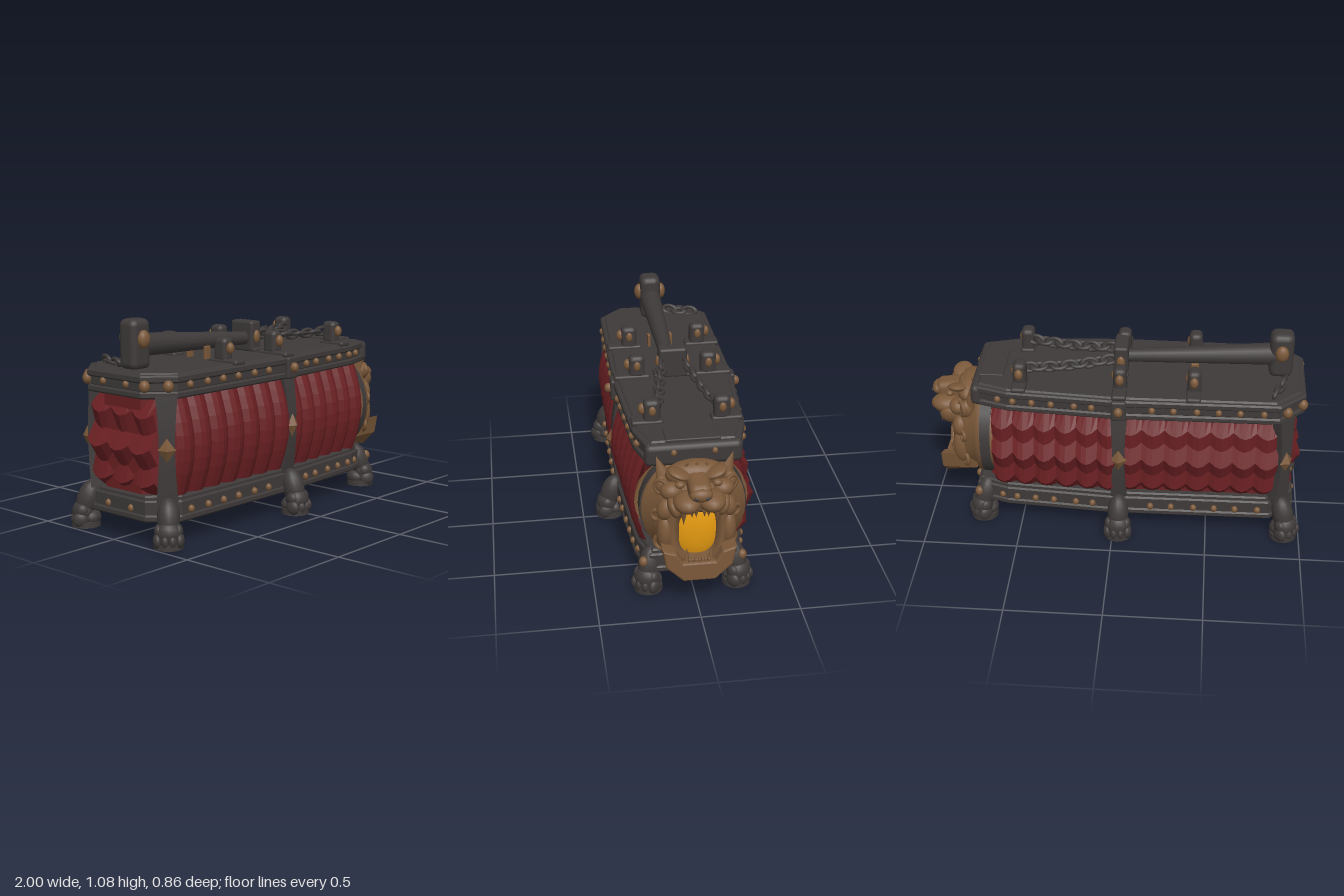
import * as THREE from 'three';
import { RoundedBoxGeometry } from 'three/addons/geometries/RoundedBoxGeometry.js';

const mat = (name, color) => Object.assign(new THREE.MeshStandardMaterial({ color }), { name });

export function createModel() {
  const root = new THREE.Group();
  root.name = 'beastChest';
  const iron = mat('dark iron', 0x3f3a3a), red = mat('red scales', 0x6b2023);
  const bronze = mat('bronze', 0x7a5839), glow = mat('amber glow', 0xf0a212);
  red.side = bronze.side = THREE.DoubleSide;

  // ---- helpers ----
  const add = (name, geo, m, p = [0, 0, 0], r = [0, 0, 0], parent = root) => {
    const mesh = new THREE.Mesh(geo, m);
    mesh.name = name;
    mesh.position.set(...p);
    mesh.rotation.set(...r);
    parent.add(mesh);
    return mesh;
  };
  const box = (name, m, size, p, r, bevel = 0.012) =>
    add(name, new RoundedBoxGeometry(...size, 2, bevel), m, p, r);
  const ball = (name, m, radii, p, r, parent) =>
    add(name, new THREE.SphereGeometry(1, 16, 12).scale(...radii), m, p, r, parent);
  const cone = (name, radius, h, p, r, sides = 6) =>
    add(name, new THREE.ConeGeometry(radius, h, sides), bronze, p, r);
  const stud = (p, s = 0.017) => ball('stud', bronze, [s, s * 1.15, s], p);
  const sides = f => [1, -1].forEach(f);

  // Half outline of the chest, shared by base and lid
  const half = [[-0.985, 0.19], [-0.86, 0.31], [0, 0.318], [0.55, 0.28], [0.73, 0.23]];
  const edge = x => {
    for (let i = 1; i < half.length; i++) {
      const [x0, z0] = half[i - 1], [x1, z1] = half[i];
      if (x <= x1) return z0 + (z1 - z0) * (x - x0) / (x1 - x0);
    }
    return 0.23;
  };
  const slab = (name, m, inset, y0, y1, shift = 0) => {
    const b = 0.008, cut = inset + b;
    const pts = half.map(([x, z]) => [x + shift + (x < -0.5 ? cut : x > 0.7 ? -cut : 0), z - cut]);
    const all = [...pts, ...pts.map(([x, z]) => [x, -z]).reverse()];
    const shape = new THREE.Shape(all.map(q => new THREE.Vector2(...q)));
    const geo = new THREE.ExtrudeGeometry(shape,
      { depth: y1 - y0 - 2 * b, bevelSize: b, bevelThickness: b, bevelSegments: 1 });
    add(name, geo.rotateX(-Math.PI / 2), m, [0, y0 + b, 0]);
  };

  // ---- base, core and lid ----
  slab('baseFoot', iron, 0.0, 0.11, 0.145, 0.02);
  slab('baseBand', iron, 0.008, 0.135, 0.215, 0.02);
  slab('baseTrim', iron, 0.022, 0.2, 0.235, 0.02);
  slab('core', red, 0.058, 0.22, 0.73);
  slab('lidLip', iron, 0.002, 0.715, 0.75);
  slab('lidBand', iron, 0.012, 0.745, 0.81);
  slab('lidTrim', iron, 0, 0.79, 0.828);
  slab('lidTop', iron, 0.022, 0.815, 0.836);
  box('lidEndPanel', iron, [0.06, 0.115, 0.48], [0.718, 0.772, 0], undefined, 0.028);
  box('lidEndPlate', iron, [0.13, 0.02, 0.27], [0.65, 0.835, 0], undefined, 0.006);

  // ---- studs along both bands ----
  sides(s => {
    for (const x of [-0.77, -0.65, -0.54, -0.43, -0.31, -0.2, 0.11, 0.2, 0.32, 0.42, 0.52, 0.6]) {
      stud([x, 0.777, s * (edge(x) - 0.004)]);
      stud([x, 0.165, s * (edge(x) - 0.004)]);
    }
    stud([-0.97, 0.777, s * 0.2], 0.026);
    stud([-0.89, 0.777, s * 0.28], 0.026);
    stud([0.755, 0.165, s * 0.075], 0.02);
    stud([0.73, 0.17, s * 0.25], 0.024);
    stud([0.745, 0.79, s * 0.1], 0.015);
    stud([-0.975, 0.777, s * 0.08]);
    stud([-0.955, 0.165, s * 0.08]);
  });

  // ---- scale panels running from A to B in plan ----
  const scales = (name, [ax, az], [bx, bz], cols, rows, ridge, ruffle) => {
    const len = Math.hypot(bx - ax, bz - az), nx = -(bz - az) / len, nz = (bx - ax) / len;
    const per = 4, nu = cols * per, nv = rows > 1 ? rows * 2 : 8, pos = [], idx = [];
    for (let j = 0; j <= nv; j++) for (let i = 0; i <= nu; i++) {
      const u = i / nu, v = j / nv, arc = Math.sin(Math.PI * (i % per) / per);
      let d = -0.04 + 0.06 * Math.sin(Math.PI * v) + arc * ridge;
      if (rows > 1) d += (j % 2) * ruffle - 0.012;
      const dip = rows > 1 && j > 0 && j < nv ? -0.03 * arc : 0;
      pos.push(ax + (bx - ax) * u + nx * d, 0.22 + 0.505 * v + dip, az + (bz - az) * u + nz * d);
      if (i < nu && j < nv) {
        const a = j * (nu + 1) + i, c = a + nu + 1;
        idx.push(a, a + 1, c + 1, a, c + 1, c);
      }
    }
    let geo = new THREE.BufferGeometry();
    geo.setAttribute('position', new THREE.Float32BufferAttribute(pos, 3));
    geo.setIndex(idx);
    geo = geo.toNonIndexed();
    geo.computeVertexNormals();
    add(name, geo, red);
  };
  scales('frontScalesRear', [-0.86, 0.285], [-0.03, 0.295], 7, 1, 0.028, 0);
  scales('frontScalesFore', [-0.03, 0.295], [0.64, 0.26], 6, 1, 0.028, 0);
  scales('backScalesFore', [0.64, -0.265], [-0.03, -0.295], 6, 3, 0.024, 0.028);
  scales('backScalesRear', [-0.03, -0.285], [-0.86, -0.275], 7, 3, 0.018, 0.026);
  scales('endScales', [-0.91, -0.22], [-0.91, 0.22], 3, 3, 0.02, 0.045);

  // ---- bowed posts with diamond bosses ----
  const post = (x, z, turn, w, bow) => {
    const g = new THREE.Group();
    g.name = 'post';
    g.position.set(x, 0.47, z);
    g.rotation.y = turn;
    root.add(g);
    const geo = new THREE.BoxGeometry(w, 0.52, 0.06, 1, 8, 1), p = geo.attributes.position;
    for (let i = 0; i < p.count; i++) {
      const c = Math.cos(Math.PI * p.getY(i) / 0.52);
      p.setZ(i, p.getZ(i) + bow * c);
      p.setX(i, p.getX(i) * (1.25 - 0.35 * c));
    }
    geo.computeVertexNormals();
    add('postShaft', geo, iron, [0, 0, 0], [0, 0, 0], g);
    add('postBoss', new THREE.OctahedronGeometry(1).scale(0.045, 0.062, 0.03), bronze,
      [0, 0, 0.028 + bow], [0, 0, 0], g);
  };
  sides(s => {
    const t = s > 0 ? 0 : Math.PI;
    post(-0.03, s * 0.272, t, 0.07, 0.03);
    post(-0.875, s * 0.25, -s * Math.PI / 4 + t, 0.085, 0.01);
    box('forePost', iron, [0.06, 0.52, 0.08], [0.68, 0.47, s * 0.11]);
  });

  // ---- clawed paws, flattened at the ground ----
  const paw = (x, z, dx, dz) => {
    const g = new THREE.Group();
    g.name = 'paw';
    g.position.set(x, 0, z);
    g.rotation.y = Math.atan2(dx, dz);
    root.add(g);
    const blob = (name, r, p, tilt = 0) => ball(name, iron, r, p, [tilt, 0, 0], g);
    blob('ankle', [0.056, 0.1, 0.058], [0, 0.14, -0.01], -0.3);
    blob('knuckles', [0.066, 0.062, 0.058], [0, 0.075, 0.015]);
    blob('heel', [0.06, 0.045, 0.05], [0, 0.045, -0.025]);
    for (const k of [-1.5, -0.5, 0.5, 1.5]) {
      const back = Math.abs(k) * 0.012;
      blob('toe', [0.024, 0.04, 0.04], [k * 0.035, 0.041, 0.045 - back]);
      blob('toeJoint', [0.022, 0.035, 0.032], [k * 0.032, 0.085, 0.036 - back]);
    }
    add('pad', new THREE.CylinderGeometry(0.072, 0.074, 0.03, 16), iron, [0, 0.015, 0.002], [0, 0, 0], g);
  };
  sides(s => {
    paw(-0.03, s * 0.35, 0, s);
    paw(-0.915, s * 0.295, -1, s);
    paw(0.71, s * 0.225, 1, s * 0.8);
  });

  // ---- lid brackets ----
  sides(s => {
    [-0.41, -0.03, 0.49].forEach(x => {
      const e = edge(x), zl = x === 0.49 ? 0.175 : 0.19;
      box('strap', iron, [0.075, 0.028, e - 0.125], [x, 0.838, s * (e + 0.115) / 2]);
      box('lug', iron, [0.07, 0.125, 0.085], [x, 0.895, s * zl], undefined, 0.025);
      ball('lugStud', bronze, [0.022, 0.03, 0.02], [x, 0.905, s * (zl + 0.048)]);
      ball('lugEndStud', bronze, [0.012, 0.026, 0.018], [x + 0.034, 0.905, s * zl]);
    });
    box('strapDrop', iron, [0.08, 0.115, 0.03], [-0.03, 0.772, s * 0.318]);
    stud([-0.03, 0.775, s * 0.34], 0.023);
  });

  // ---- locking bar, hinge and clamp ----
  const cz = 0.018;
  add('lockBar', new THREE.CylinderGeometry(0.034, 0.06, 0.82, 16), iron,
    [-0.44, 0.925, cz], [0, 0, -Math.PI / 2 - 0.055]);
  box('hingeBlock', iron, [0.125, 0.25, 0.115], [-0.855, 0.953, cz], undefined, 0.035);
  box('clamp', iron, [0.075, 0.165, 0.15], [-0.025, 0.913, 0], undefined, 0.015);
  sides(s => {
    ball('hingeStud', bronze, [0.035, 0.045, 0.028], [-0.855, 0.98, cz + s * 0.062]);
    ball('clampStud', bronze, [0.022, 0.035, 0.015], [-0.025, 0.913, s * 0.076]);
    box('clampFoot', iron, [0.085, 0.025, 0.03], [-0.025, 0.842, s * 0.085], undefined, 0.006);
    box('barTab', bronze, [0.04, 0.07, 0.015], [-0.41, 0.868, cz + s * 0.06], undefined, 0.004);
  });

  // ---- chains ----
  const chain = (name, a, b, n) => {
    const A = new THREE.Vector3(...a), B = new THREE.Vector3(...b);
    const dir = B.clone().sub(A).normalize();
    for (let i = 0; i < n; i++) {
      const link = add(name, new THREE.TorusGeometry(0.025, 0.011, 6, 14).scale(1.45, 0.9, 1), iron);
      link.position.lerpVectors(A, B, (i + 0.5) / n);
      link.position.y -= 0.012 * Math.sin(Math.PI * (i + 0.5) / n);
      link.quaternion.setFromUnitVectors(new THREE.Vector3(1, 0, 0), dir);
      link.rotateX(i % 2 ? Math.PI / 2 - 0.3 : 0.3);
    }
  };
  sides(s => chain('chainLink', [0.01, 0.925, s * 0.06], [0.47, 0.905, s * 0.145], 9));
  chain('endChainLink', [-0.82, 0.857, -0.24], [-0.88, 0.857, -0.07], 3);

  // ---- beast head: concentric rings from the mane plate into the mouth ----
  add('collar', new THREE.CylinderGeometry(1, 1, 0.06, 28).rotateZ(Math.PI / 2).scale(1, 0.285, 0.268),
    iron, [0.68, 0.47, 0]);
  add('frill', new THREE.CylinderGeometry(1, 1, 0.03, 28).rotateZ(Math.PI / 2).scale(1, 0.245, 0.285),
    bronze, [0.637, 0.475, 0]);
  // x, centre y, half width, half height, forward reach at top, at bottom, squareness
  const rings = [[0.70, 0.47, 0.262, 0.285, 0, 0, 1], [0.735, 0.47, 0.258, 0.28, 0, 0, 1],
    [0.745, 0.47, 0.225, 0.255, 0, 0, 1], [0.79, 0.47, 0.208, 0.25, 0.02, 0.03, 1],
    [0.84, 0.45, 0.165, 0.21, 0.03, 0.05, 0.9], [0.875, 0.425, 0.12, 0.165, 0.05, 0.05, 0.75],
    [0.86, 0.415, 0.092, 0.135, 0.05, 0.05, 0.65], [0.77, 0.415, 0.088, 0.13, 0, 0, 0.65]];
  const N = 36, pos = [], idx = [];
  const bend = (v, e) => Math.sign(v) * Math.abs(v) ** e;
  rings.forEach(([x, cy, rz, ry, ft, fb, e], k) => {
    for (let i = 0; i < N; i++) {
      const a = i / N * Math.PI * 2, sn = Math.sin(a);
      pos.push(x + (sn > 0 ? ft : fb) * sn * sn, cy + ry * bend(sn, e), -rz * bend(Math.cos(a), e));
      const o = k * N, j = (i + 1) % N;
      if (k < rings.length - 1) idx.push(o + i, o + j, o + N + j, o + i, o + N + j, o + N + i);
    }
  });
  const face = new THREE.BufferGeometry();
  face.setAttribute('position', new THREE.Float32BufferAttribute(pos, 3));
  face.setIndex(idx);
  face.computeVertexNormals();
  add('face', face, bronze);
  ball('mouthGlow', glow, [0.06, 0.19, 0.13], [0.81, 0.415, 0]);

  // Lower jaw and teeth
  const jaw = new THREE.Shape([[-0.172, 0.35], [-0.155, 0.265], [-0.075, 0.19], [0.075, 0.19], [0.155, 0.265],
    [0.172, 0.35], [0.12, 0.33], [0.085, 0.272], [-0.085, 0.272], [-0.12, 0.33]].map(q => new THREE.Vector2(...q)));
  const jawGeo = new THREE.ExtrudeGeometry(jaw,
    { depth: 0.17, bevelSize: 0.01, bevelThickness: 0.014, bevelSegments: 2 }).rotateY(Math.PI / 2);
  const jp = jawGeo.attributes.position;
  for (let i = 0; i < jp.count; i++) jp.setY(i, jp.getY(i) + 0.25 * (0.17 - jp.getX(i)) * (jp.getY(i) < 0.23));
  jawGeo.computeVertexNormals();
  add('lowerJaw', jawGeo, bronze, [0.76, 0, 0]);
  for (let i = -3; i <= 3; i++) {
    box('lowerTooth', bronze, [0.018, 0.035, 0.014], [0.925, 0.28, i * 0.016], undefined, 0.004);
    if (i % 3) cone('upperTooth', 0.011, 0.035, [0.94, 0.558, i * 0.02], [Math.PI, 0, 0]);
  }

  // Snout, nose and brow
  box('snoutBridge', bronze, [0.2, 0.1, 0.11], [0.87, 0.68, 0], [0, 0, -0.12], 0.035);
  ball('nose', bronze, [0.032, 0.034, 0.056], [0.963, 0.675, 0]);
  ball('forehead', bronze, [0.075, 0.07, 0.15], [0.785, 0.695, 0]);
  for (const z of [-0.05, 0, 0.05])
    cone('crownTuft', 0.026, 0.06, [0.81, 0.75, z], [-z * 6, 0, -0.4], 4);
  sides(s => {
    ball('muzzle', bronze, [0.085, 0.048, 0.068], [0.91, 0.612, s * 0.06]);
    ball('lipCorner', bronze, [0.06, 0.055, 0.03], [0.88, 0.57, s * 0.118], [s * 0.35, 0, 0]);
    ball('nostril', iron, [0.007, 0.009, 0.011], [0.989, 0.67, s * 0.027]);
    ball('brow', bronze, [0.055, 0.022, 0.062], [0.84, 0.728, s * 0.085], [-s * 0.35, 0, 0]);
    ball('eye', bronze, [0.02, 0.018, 0.024], [0.885, 0.693, s * 0.09]);
    cone('upperFang', 0.019, 0.085, [0.94, 0.545, s * 0.08], [Math.PI, 0, 0], 8);
    cone('lowerFang', 0.019, 0.085, [0.91, 0.31, s * 0.06], [0, 0, 0], 8);
    add('ear', new THREE.ConeGeometry(0.062, 0.18, 9).scale(0.6, 1, 1), bronze,
      [0.765, 0.7, s * 0.16], [s * 0.32, 0, 0.1]);
    ball('earLobe', bronze, [0.035, 0.05, 0.035], [0.785, 0.645, s * 0.165]);
    // Cheek folds and mane curls
    ball('cheekBone', bronze, [0.05, 0.045, 0.055], [0.835, 0.635, s * 0.125]);
    ball('cheekUpper', bronze, [0.045, 0.06, 0.045], [0.825, 0.53, s * 0.15], [-s * 0.3, 0, 0]);
    ball('jowl', bronze, [0.05, 0.1, 0.042], [0.825, 0.4, s * 0.155]);
    [[0.645, 0.17, 0.036], [0.49, 0.195, 0.026], [0.33, 0.172, 0.036]].forEach(([y, z, r]) =>
      add('maneCurl', new THREE.TorusGeometry(r, 0.011, 6, 16), bronze,
        [0.81, y, s * z], [0, Math.PI / 2 - s * 0.6, 0]));
  });
  return root;
}
